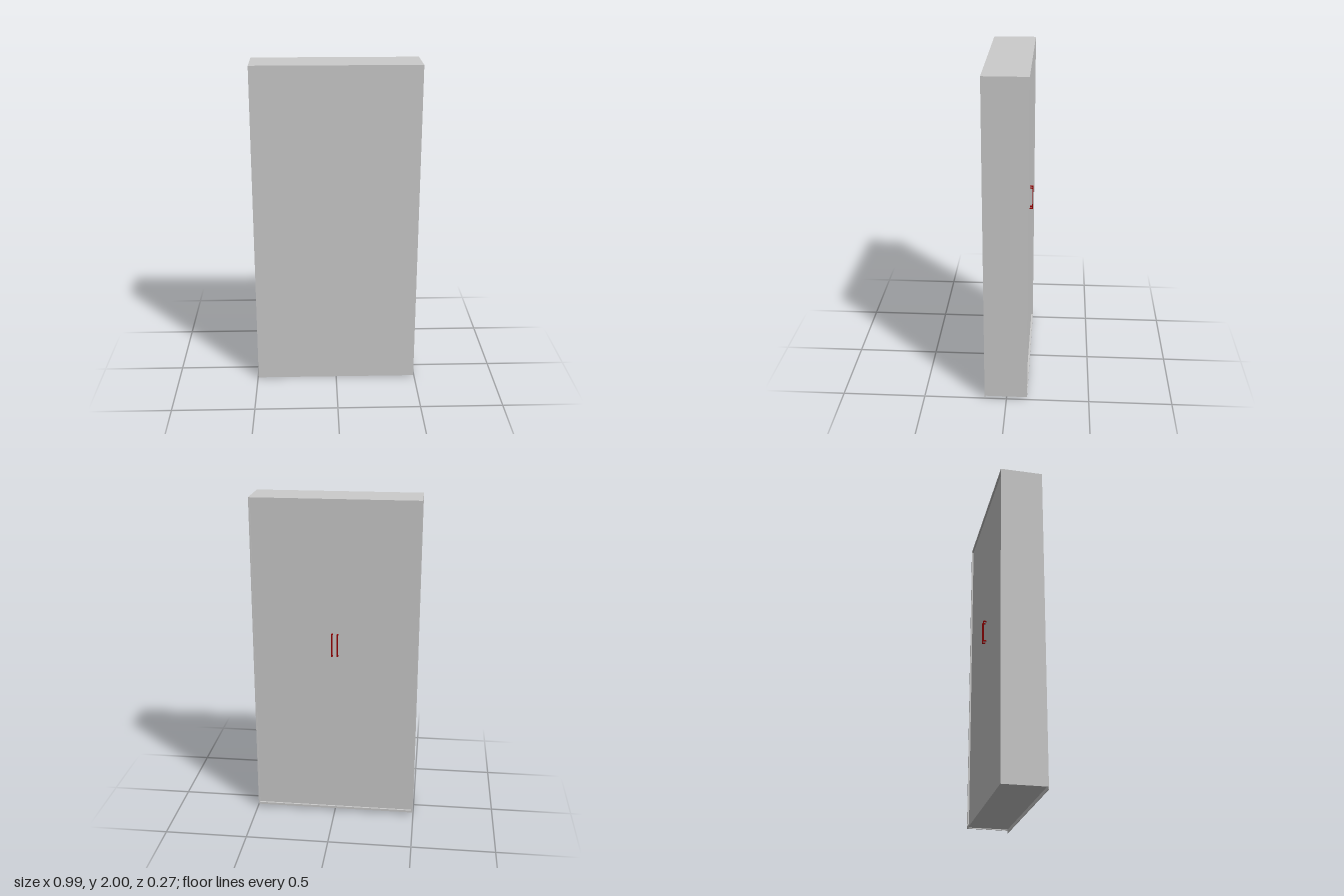
import * as THREE from 'three';

const grey = new THREE.MeshStandardMaterial({ color: 0xcccccc });
const red = new THREE.MeshStandardMaterial({ color: 0x990000 });

// Box given by its minimum and maximum corners
function box(name, min, max, material = grey) {
  const size = max.map((v, i) => v - min[i]);
  const mesh = new THREE.Mesh(new THREE.BoxGeometry(...size), material);
  mesh.position.set(...max.map((v, i) => (v + min[i]) / 2));
  mesh.name = name;
  return mesh;
}

export function createModel() {
  const model = new THREE.Group();
  model.name = 'cabinet';

  const W = 0.496;      // half width
  const T = 0.008;      // sheet thickness
  const BACK = -0.126;  // rim on the door side
  const FRONT = 0.133;  // closed face
  const DOOR = -0.115;  // outer face of the recessed doors
  const BASE = 0.015;   // lower edge of the carcass
  const inner = W - T;

  // Carcass: closed sheet, top and recessed floor with its lip
  model.add(box('closedPanel', [-W, 0, FRONT - 0.004], [W, 2, FRONT]));
  model.add(box('topPanel', [-inner, 2 - T, BACK], [inner, 2, FRONT - 0.004]));
  model.add(box('floorPanel', [-inner, BASE + 0.006, BACK + 0.006], [inner, BASE + 0.014, FRONT - 0.004]));
  model.add(box('floorLip', [-inner, BASE, BACK], [inner, BASE + 0.014, BACK + 0.006]));

  for (const s of [-1, 1]) {
    const side = s > 0 ? 'left' : 'right';
    const span = (a, b) => [Math.min(s * a, s * b), Math.max(s * a, s * b)];

    // Side wall and door
    const [w0, w1] = span(inner, W);
    model.add(box(side + 'Wall', [w0, BASE, BACK], [w1, 2, FRONT - 0.004]));
    const [d0, d1] = span(0, inner);
    model.add(box(side + 'Door', [d0, BASE + 0.014, DOOR], [d1, 2 - T, DOOR + T]));

    // Bracket handle: a slim bar on two short posts
    const handle = new THREE.Group();
    handle.name = side + 'Handle';
    const [h0, h1] = span(0.012, 0.021);
    handle.add(box('grip', [h0, 1.055, -0.134], [h1, 1.195, -0.13], red));
    for (const y of [1.055, 1.189]) {
      handle.add(box('post', [h0, y, -0.13], [h1, y + 0.006, DOOR], red));
    }
    model.add(handle);
  }
  return model;
}
